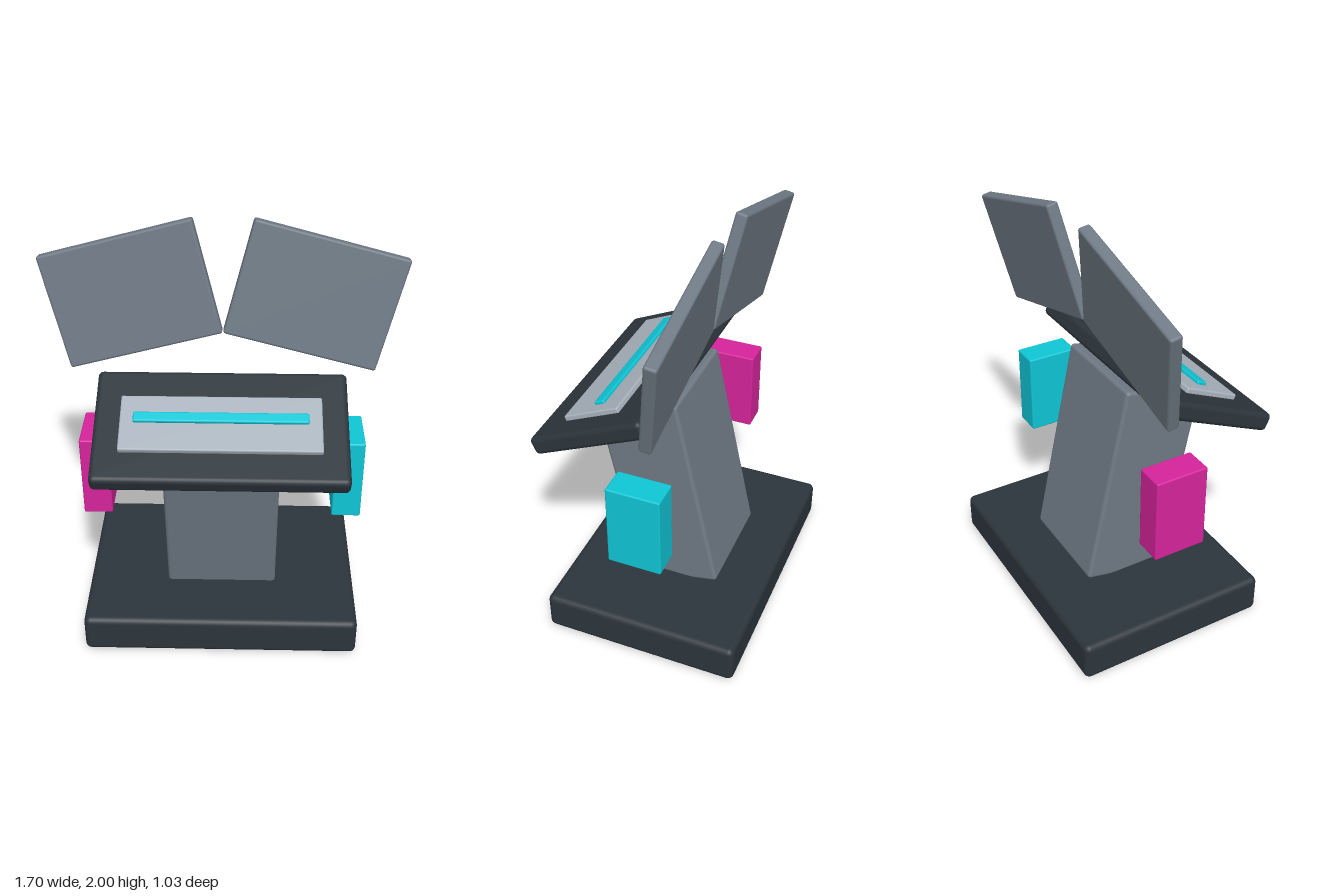
import * as THREE from 'three';
import { RoundedBoxGeometry } from 'three/addons/geometries/RoundedBoxGeometry.js';

const mat = (name, color) => {
  const m = new THREE.MeshStandardMaterial({ color });
  m.name = name;
  return m;
};

export function createModel() {
  const dark = mat('charcoal', 0x2c353c);
  const grey = mat('slate grey', 0x6f7a85);
  const light = mat('light grey', 0xa9b3bd);
  const cyan = mat('cyan', 0x0fc6d6);
  const magenta = mat('magenta', 0xd6249c);
  const deg = THREE.MathUtils.degToRad;

  const model = new THREE.Group();
  model.name = 'kiosk';

  // Soft-edged box: size, position, edge radius
  const box = (parent, name, material, [w, h, d], [x, y, z], radius) => {
    const mesh = new THREE.Mesh(new RoundedBoxGeometry(w, h, d, 3, radius), material);
    mesh.name = name;
    mesh.position.set(x, y, z);
    parent.add(mesh);
    return mesh;
  };

  // Foot plate and forward-leaning column
  box(model, 'base', dark, [1.33, 0.195, 0.965], [0, 0.0985, -0.033], 0.03);
  const column = box(model, 'column', grey, [0.54, 1.025, 0.415], [0, 0.669, 0.025], 0.018);
  column.rotation.x = deg(12);

  // Sloping console with inset panel and light strip
  const console_ = new THREE.Group();
  console_.name = 'console';
  console_.position.set(0, 1.158, 0.228);
  console_.rotation.x = deg(24);
  model.add(console_);
  box(console_, 'consoleSlab', dark, [1.15, 0.09, 0.6], [0, 0, 0], 0.024);
  box(console_, 'consolePanel', light, [0.91, 0.03, 0.292], [0, 0.055, 0.006], 0.008);
  box(console_, 'lightStrip', cyan, [0.79, 0.022, 0.052], [0, 0.075, -0.017], 0.008);

  for (const side of [-1, 1]) {
    const label = side > 0 ? 'left' : 'right';
    // Floating side block
    box(model, label + 'SideBlock', side > 0 ? cyan : magenta,
      [0.14, 0.42, 0.26], [side * 0.607, 0.793, -0.035], 0.008);
    // Upper screen, leaning back and fanned outwards
    const screen = box(model, label + 'Screen', grey,
      [0.738, 0.546, 0.058], [side * 0.426, 1.643, -0.165], 0.012);
    screen.rotation.set(deg(-10), 0, deg(-15 * side), 'ZYX');
  }
  return model;
}
